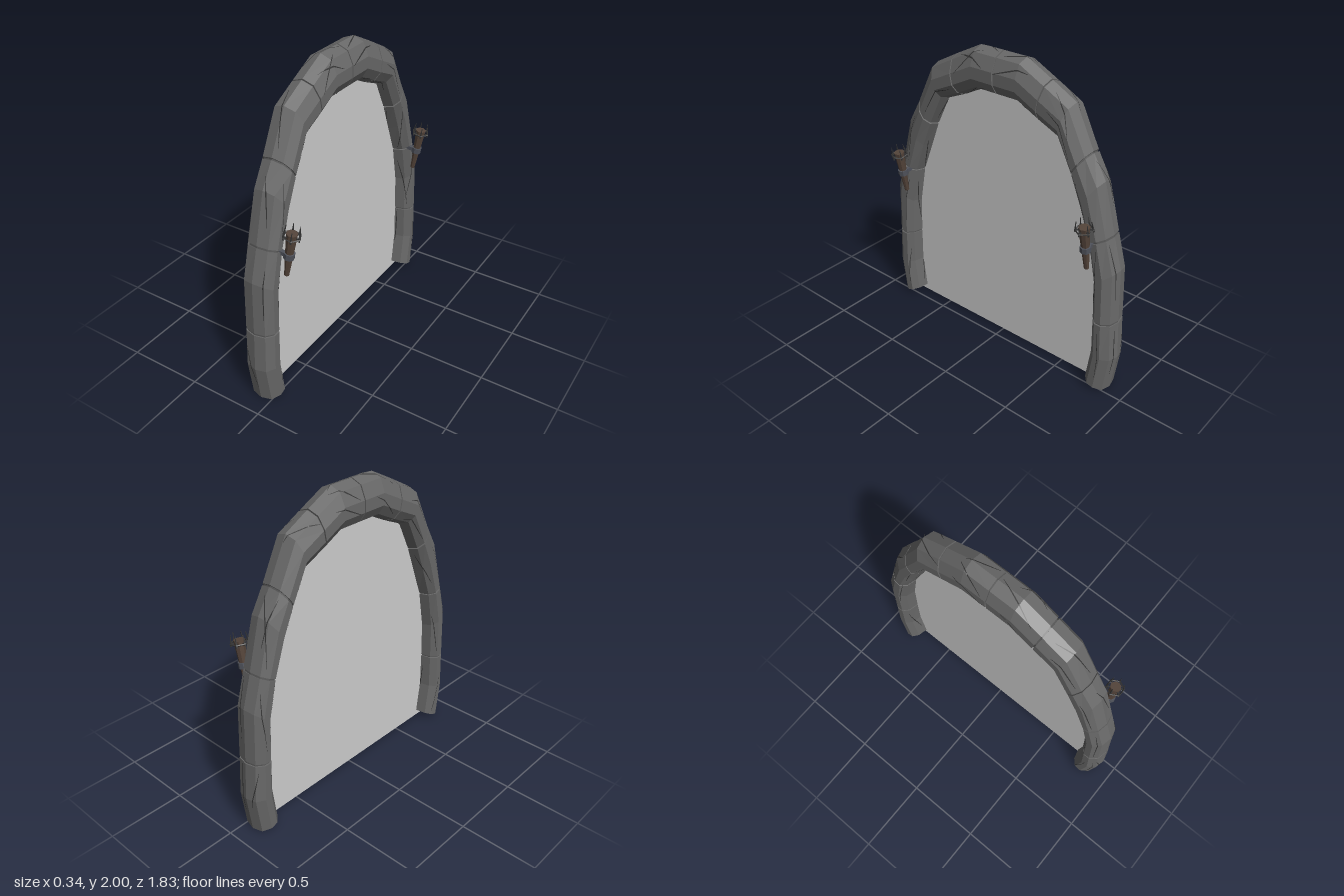
import * as THREE from 'three';

const CX = -0.068, HALF = 0.104; // arch centre plane and half depth

// Left half of the arch: [outer z, outer y, inner z, inner y], joints and stone middles alternating
const half = [
  [0.88, 0.005, 0.72, 0.06], [0.915, 0.26, 0.75, 0.28], [0.9, 0.52, 0.745, 0.52],
  [0.885, 0.88, 0.735, 0.77], [0.825, 1.09, 0.685, 1.03], [0.74, 1.41, 0.61, 1.22],
  [0.65, 1.56, 0.54, 1.4], [0.52, 1.82, 0.44, 1.6], [0.35, 1.91, 0.3, 1.66],
  [0.17, 2.0, 0.16, 1.73], [0, 2.0, 0, 1.73],
];
const stations = [...half, ...half.slice(0, -1).reverse().map(([a, b, c, d]) => [-a, b, -c, d])];

// Cross-section as [depth, radial] fractions, starting at the outer ridge
const side = [[0.66, 0.8], [1, 0.2], [1, -0.35], [0.64, -0.8]];
const profile = [[0, 1], ...side, [0, -1], ...side.slice().reverse().map(([x, r]) => [-x, r])];
const N = profile.length;

const mat = (color, flatShading = true, s = THREE.FrontSide) =>
  new THREE.MeshStandardMaterial({ color, flatShading, side: s });
const stoneMat = mat(0x686868);
const coreMat = mat(0x565656);
const crackMat = mat(0x343434, true, THREE.DoubleSide);
const woodMat = mat(0x54443a);
const ironMat = mat(0x353535);
const clampMat = mat(0x50535c);
const sheetMat = mat(0xcccccc, false, THREE.DoubleSide);

const mix = (a, b, t) => a.map((v, i) => v + (b[i] - v) * t);

// Point on a station's outline; u runs around the profile
function outline([oz, oy, iz, iy], u, scale = 1) {
  const j = Math.floor(u);
  const [x, r] = mix(profile[((j % N) + N) % N], profile[(((j + 1) % N) + N) % N], u - j);
  const k = (1 + r * scale) / 2;
  return new THREE.Vector3(CX + HALF * x * scale, iy + (oy - iy) * k, iz + (oz - iz) * k);
}

function fromTriangles(points) {
  const g = new THREE.BufferGeometry().setFromPoints(points);
  g.computeVertexNormals();
  return g;
}

// Capped solid through a row of stations
function loft(rows, scale = 1) {
  const rings = rows.map((s) => profile.map((_, j) => outline(s, j, scale)));
  const centre = (ring) => ring.reduce((c, p) => c.addScaledVector(p, 1 / N), new THREE.Vector3());
  const pts = [], first = rings[0], last = rings[rings.length - 1];
  const c0 = centre(first), c1 = centre(last);
  for (let j = 0; j < N; j++) {
    const k = (j + 1) % N;
    for (let s = 0; s + 1 < rings.length; s++) {
      const a = rings[s][j], b = rings[s][k], c = rings[s + 1][k], d = rings[s + 1][j];
      pts.push(a, b, c, a, c, d);
    }
    pts.push(c0, first[k], first[j], c1, last[j], last[k]);
  }
  return fromTriangles(pts);
}

// Thin tapering dark fissure between two [along, around] positions on a stone
function crack(rows, from, to, width) {
  const pts = [], steps = 30;
  const at = (t, e) => {
    const [v, u] = mix(from, to, t);
    const s = v < 1 ? mix(rows[0], rows[1], v) : mix(rows[1], rows[2], v - 1);
    const w = width * Math.sin(Math.PI * (0.1 + 0.8 * t)) * e;
    return outline(s, u + w, 1.015);
  };
  for (let i = 0; i < steps; i++) {
    const t = i / steps, n = (i + 1) / steps;
    const a = at(t, -1), b = at(t, 1), c = at(n, 1), d = at(n, -1);
    pts.push(a, b, c, a, c, d);
  }
  return fromTriangles(pts);
}

function add(parent, name, geometry, material, x = 0, y = 0, z = 0) {
  const m = new THREE.Mesh(geometry, material);
  m.name = name;
  m.position.set(x, y, z);
  parent.add(m);
  return m;
}

function createTorch() {
  const torch = new THREE.Group();
  torch.name = 'torch';
  // Wall bracket
  add(torch, 'bracket', new THREE.BoxGeometry(0.09, 0.025, 0.025), clampMat, 0.045, 1.045, 0);
  // Leaning torch, origin at the clamp
  const lean = new THREE.Group();
  lean.name = 'leaningTorch';
  lean.position.set(0.088, 1.045, 0);
  lean.rotation.z = -0.17;
  torch.add(lean);
  add(lean, 'handle', new THREE.CylinderGeometry(0.034, 0.015, 0.3, 8), woodMat, 0, 0.005, 0);
  add(lean, 'clamp', new THREE.CylinderGeometry(0.033, 0.033, 0.038, 8), clampMat);
  // Hexagonal iron basket with spikes
  const hoop = add(lean, 'basketHoop', new THREE.TorusGeometry(0.054, 0.005, 4, 6), ironMat, 0, 0.137, 0);
  hoop.rotation.x = Math.PI / 2;
  for (let i = 0; i < 6; i++) {
    const arm = new THREE.Group();
    arm.name = 'basketArm';
    arm.rotation.y = (i * Math.PI) / 3;
    add(arm, 'spoke', new THREE.BoxGeometry(0.022, 0.007, 0.007), ironMat, 0.042, 0.137, 0);
    const spike = add(arm, 'spike', new THREE.CylinderGeometry(0.002, 0.006, 0.07, 4), ironMat, 0.048, 0.157, 0);
    spike.rotation.z = 0.12;
    lean.add(arm);
  }
  return torch;
}

export function createModel() {
  const model = new THREE.Group();
  model.name = 'torchLitArch';

  // Ten stones, each bent at its middle, with narrow joints
  const stones = new THREE.Group();
  stones.name = 'archStones';
  model.add(stones);
  let seed = 7;
  const rand = () => (seed = (seed * 16807) % 2147483647) / 2147483647;
  for (let i = 0; i + 2 < stations.length; i += 2) {
    const [a, m, b] = stations.slice(i, i + 3);
    const rows = [i ? mix(a, m, 0.025) : a, m, i + 3 < stations.length ? mix(b, m, 0.025) : b];
    add(stones, 'archStone', loft(rows), stoneMat);
    // Long slanting fissures, two on each side of the stone
    for (let c = 0; c < 5; c++) {
      const u = c * 2 + rand(), v = rand() * 0.4;
      const to = [v + 1.1 + rand() * 0.5, u + (rand() - 0.5) * 3.5];
      add(stones, 'crack', crack(rows, [v, u], to, 0.05), crackMat);
    }
  }
  // Recessed filling seen in the joints
  add(model, 'jointCore', loft(stations.slice(1, -1), 0.91), coreMat);

  // Flat sheet closing the opening
  const shape = new THREE.Shape(
    stations.map(([oz, oy, iz, iy]) => new THREE.Vector2((oz + iz) / 2, Math.max(0.02, (oy + iy) / 2))),
  );
  shape.lineTo(-0.83, 0.02);
  shape.lineTo(0.83, 0.02);
  const sheet = new THREE.ShapeGeometry(shape).rotateY(-Math.PI / 2);
  add(model, 'doorwaySheet', sheet, sheetMat, CX, 0, 0);

  // Torches on both legs
  for (const s of [1, -1]) {
    const torch = createTorch();
    torch.position.z = s * 0.735;
    model.add(torch);
  }
  return model;
}
